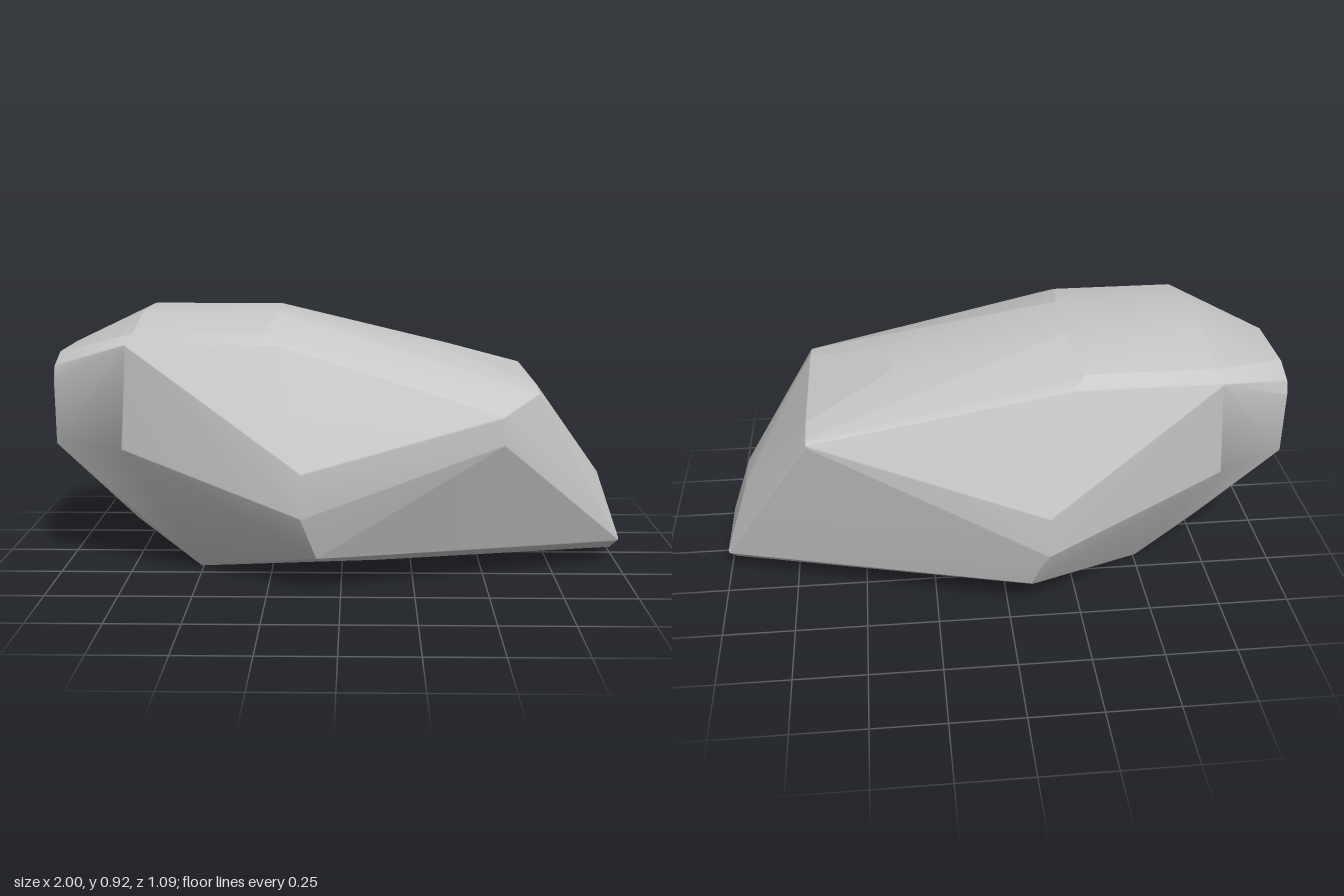
import * as THREE from 'three';
import { mergeVertices } from 'three/addons/utils/BufferGeometryUtils.js';
import { ConvexGeometry } from 'three/addons/geometries/ConvexGeometry.js';

const ROUNDING = 0.012;

// Welds corners so that normals blend, weighted by face area
function weld(geometry) {
  geometry.deleteAttribute('normal');
  geometry.deleteAttribute('uv');
  const welded = mergeVertices(geometry);
  welded.computeVertexNormals();
  return welded;
}

// Convex hull with narrow, softly rounded edges
function roundedHull(points) {
  const ball = weld(new THREE.IcosahedronGeometry(ROUNDING, 1)).attributes.position;
  const middle = new THREE.Vector3(0, 0.46, 0);
  const inset = new THREE.Vector3(1, 0.46, 0.54).addScalar(-ROUNDING)
    .divide(new THREE.Vector3(1, 0.46, 0.54));
  const cloud = [];
  for (const point of points) {
    const centre = point.clone().sub(middle).multiply(inset).add(middle);
    for (let i = 0; i < ball.count; i++) {
      cloud.push(new THREE.Vector3().fromBufferAttribute(ball, i).add(centre));
    }
  }
  return weld(new ConvexGeometry(cloud));
}

export function createModel() {
  const group = new THREE.Group();
  group.name = 'boulder';
  const stone = new THREE.MeshStandardMaterial({ color: 0xc7c7c7 });
  stone.name = 'light grey stone';

  // Corners shared by both sides: x, y, half width
  const mirrored = [
    // crown ridge and shoulders
    [-0.70, 0.92, 0.13], [-0.23, 0.92, 0.13], [0.38, 0.777, 0.09],
    [-0.70, 0.87, 0.355], [-0.26, 0.87, 0.355], [-0.72, 0.84, 0.40], [-0.22, 0.84, 0.40],
    // blunt end
    [-1, 0.775, 0.13], [-1, 0.74, 0.215], [-1, 0.70, 0.23], [-1, 0.47, 0.23],
    [-0.75, 0.48, 0.37],
    // widest flank
    [-0.13, 0.43, 0.543], [-0.13, 0.28, 0.543], [-0.08, 0.13, 0.49],
    // underside
    [-0.73, 0.18, 0.18], [-0.51, 0, 0.18], [0.13, 0.015, 0.15],
    // sloping nose
    [0.67, 0.68, 0.25], [0.67, 0.665, 0.34], [0.92, 0.33, 0.10],
    [1, 0.09, 0.145], [0.98, 0.06, 0.12],
  ];
  const points = mirrored.flatMap(([x, y, z]) =>
    [1, -1].map((side) => new THREE.Vector3(x, y, z * side)));

  // Uneven corners: a bulge at the front, a chipped edge at the back
  points.push(
    new THREE.Vector3(0.54, 0.61, 0.472), new THREE.Vector3(0.54, 0.52, 0.472),
    new THREE.Vector3(0.67, 0.655, -0.355));

  const rock = new THREE.Mesh(roundedHull(points), stone);
  rock.name = 'rock';
  group.add(rock);
  return group;
}
